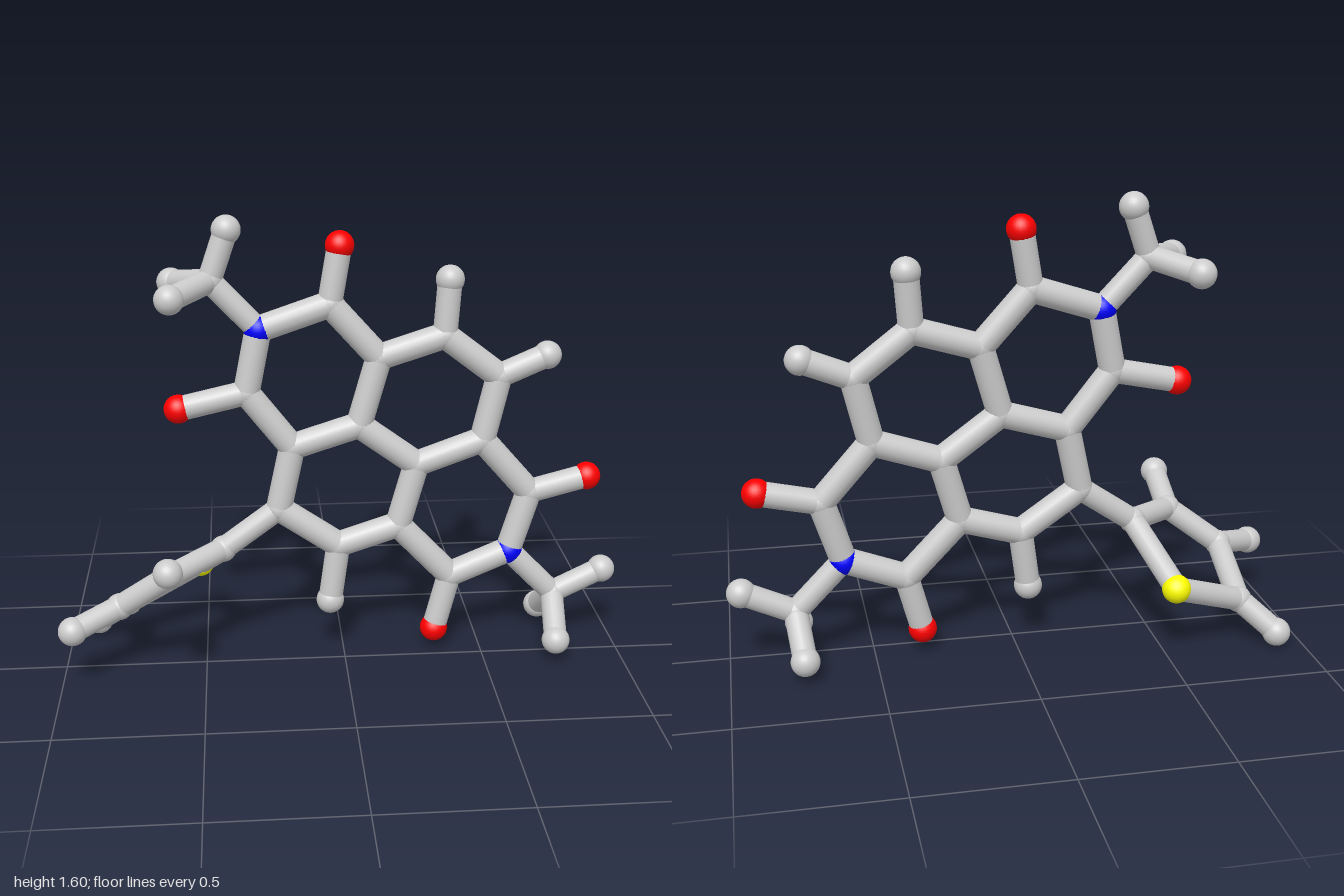
import * as THREE from 'three';

// The fused ring system lies in one slightly tilted plane
const planeZ = (x, y) => -0.039 - 0.036 * x - 0.049 * y;

// Atoms: element, x, y and z (z left out for atoms in the plane)
const ATOMS = {
  // fused rings
  c1: ['C', -0.045, 1.29], c2: ['C', 0.125, 1.10], c3: ['C', 0.355, 1.17], c4: ['C', 0.55, 1.02],
  c5: ['C', 0.495, 0.79], c6: ['C', 0.26, 0.71], c7: ['C', 0.055, 0.86], c8: ['C', -0.18, 0.79],
  c9: ['C', -0.335, 0.99], n1: ['N', -0.29, 1.21], c10: ['C', -0.23, 0.565], c11: ['C', -0.02, 0.42],
  c12: ['C', 0.195, 0.485], c13: ['C', 0.385, 0.285], n2: ['N', 0.60, 0.37], c14: ['C', 0.67, 0.59],
  // in-plane ends
  o1: ['O', -0.01, 1.49], o2: ['O', -0.57, 0.94], o3: ['O', 0.33, 0.08], o4: ['O', 0.88, 0.64],
  h3: ['H', 0.37, 1.365], h4: ['H', 0.72, 1.09], h11: ['H', -0.05, 0.21],
  // upper methyl
  m1: ['C', -0.45, 1.38, -0.09], m1a: ['H', -0.39, 1.55, -0.10],
  m1b: ['H', -0.58, 1.355, 0.07], m1c: ['H', -0.585, 1.345, -0.24],
  // lower methyl
  m2: ['C', 0.77, 0.195, -0.08], m2a: ['H', 0.95, 0.28, -0.085],
  m2b: ['H', 0.755, 0.08, 0.083], m2c: ['H', 0.75, 0.075, -0.228],
  // five-sided side ring
  t1: ['C', -0.43, 0.425, -0.04], s: ['S', -0.52, 0.26, -0.295], t2: ['C', -0.785, 0.155, -0.195],
  t3: ['C', -0.795, 0.265, 0.07], t4: ['C', -0.61, 0.40, 0.12],
  ht2: ['H', -0.905, 0.05, -0.268], ht3: ['H', -0.95, 0.225, 0.17], ht4: ['H', -0.61, 0.485, 0.293],
};

// Bonds grouped by part: radius and chains of joined atoms
const BONDS = {
  fusedRingBond: [0.046, ['c1 c2 c3 c4 c5 c6 c7 c8 c9 n1 c1', 'c2 c7', 'c8 c10 c11 c12 c6', 'c12 c13 n2 c14 c5']],
  oxygenBond: [0.043, ['c1 o1', 'c9 o2', 'c13 o3', 'c14 o4']],
  hydrogenBond: [0.043, ['c3 h3', 'c4 h4', 'c11 h11']],
  methylBond: [0.041, ['n1 m1 m1a', 'm1b m1 m1c', 'n2 m2 m2a', 'm2b m2 m2c']],
  sideRingBond: [0.041, ['c10 t1 s t2 t3 t4 t1', 't2 ht2', 't3 ht3', 't4 ht4']],
};

const ELEMENTS = {
  C: { name: 'carbonAtom', color: 0xcccccc, radius: 0.047 },
  H: { name: 'hydrogenAtom', color: 0xcccccc, radius: 0.05 },
  N: { name: 'nitrogenAtom', color: 0x0000ff, radius: 0.051 },
  O: { name: 'oxygenAtom', color: 0xff0000, radius: 0.05 },
  S: { name: 'sulfurAtom', color: 0xffff00, radius: 0.05 },
};

export function createModel() {
  const model = new THREE.Group();
  model.name = 'molecule';
  const grey = new THREE.MeshStandardMaterial({ color: 0xcccccc });
  const position = {};

  // Ball geometry and material shared per element
  const balls = {};
  for (const [key, e] of Object.entries(ELEMENTS)) {
    balls[key] = {
      geometry: new THREE.SphereGeometry(e.radius, 24, 16),
      material: e.color === 0xcccccc ? grey : new THREE.MeshStandardMaterial({ color: e.color }),
    };
  }

  // Atoms
  const atoms = new THREE.Group();
  atoms.name = 'atoms';
  for (const [id, [element, x, y, z = planeZ(x, y)]] of Object.entries(ATOMS)) {
    position[id] = new THREE.Vector3(x, y, z);
    const ball = new THREE.Mesh(balls[element].geometry, balls[element].material);
    ball.name = ELEMENTS[element].name;
    ball.position.copy(position[id]);
    atoms.add(ball);
  }

  // Bonds: a rod between each pair of neighbours in a chain
  const up = new THREE.Vector3(0, 1, 0);
  const addRod = (group, name, a, b, radius) => {
    const along = b.clone().sub(a);
    const rod = new THREE.Mesh(new THREE.CylinderGeometry(radius, radius, along.length(), 20, 1, true), grey);
    rod.name = name;
    rod.position.copy(a).add(b).multiplyScalar(0.5);
    rod.quaternion.setFromUnitVectors(up, along.normalize());
    group.add(rod);
  };
  for (const [name, [radius, chains]] of Object.entries(BONDS)) {
    const group = new THREE.Group();
    group.name = name + 's';
    for (const chain of chains) {
      const ids = chain.split(' ');
      for (let i = 1; i < ids.length; i++) addRod(group, name, position[ids[i - 1]], position[ids[i]], radius);
    }
    model.add(group);
  }

  model.add(atoms);
  return model;
}
